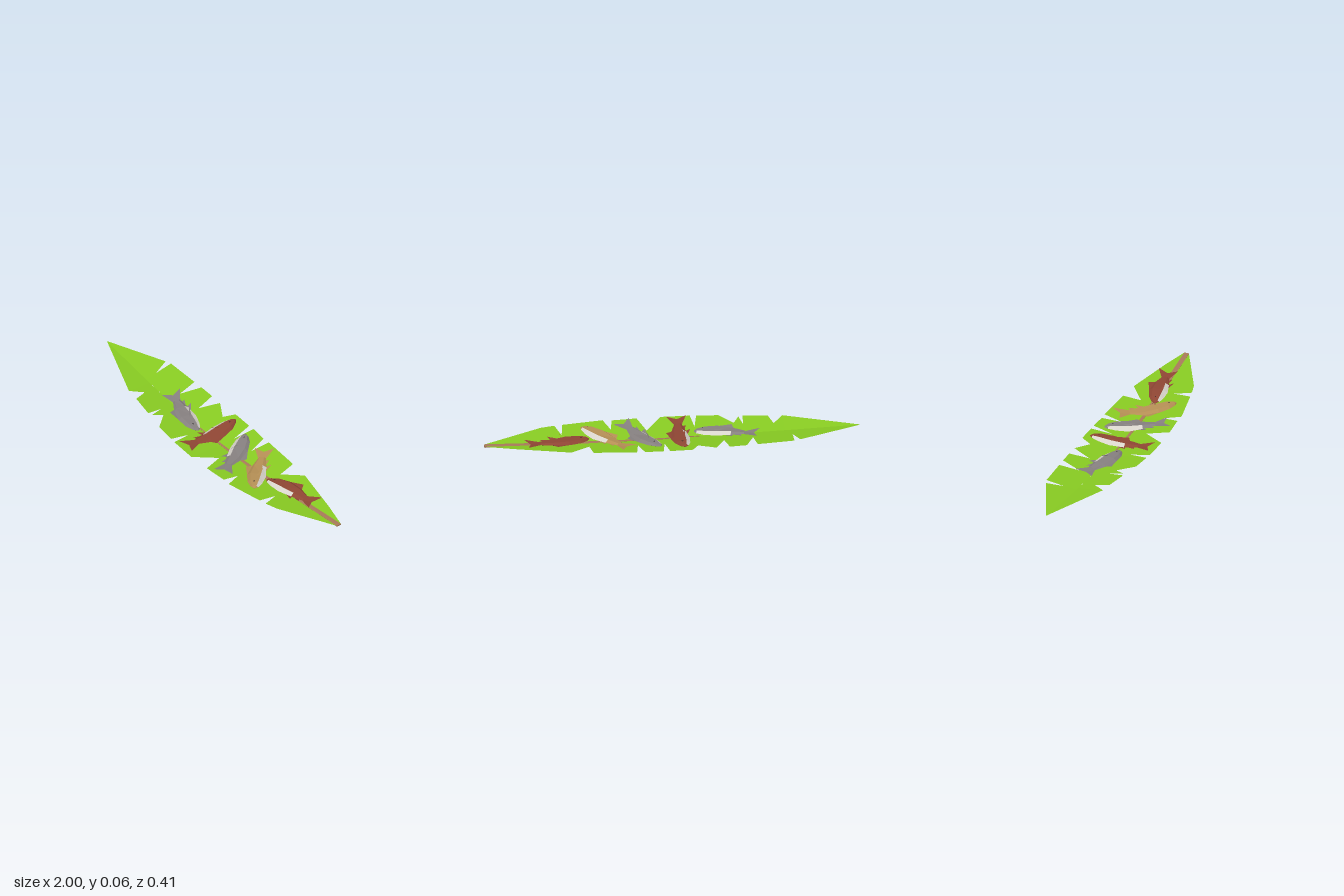
import * as THREE from 'three';

const mat = (name, color, side = THREE.FrontSide) => {
  const m = new THREE.MeshStandardMaterial({ color, side, flatShading: true });
  m.name = name;
  return m;
};

// Piecewise linear lookup in [x, value] pairs
const lerpTable = (t, x) => {
  let i = 0;
  while (i < t.length - 2 && x > t[i + 1][0]) i++;
  const [a, b] = [t[i], t[i + 1]];
  const f = Math.min(1, Math.max(0, (x - a[0]) / (b[0] - a[0])));
  return a[1] + (b[1] - a[1]) * f;
};

// Leaf surface: a sagging spine with sides rising in a shallow V
const SPINE_Y = [[-1, 0.051], [-0.6, 0.026], [-0.2, 0.008], [0.05, 0.004], [0.3, 0.006], [0.6, 0.017], [1, 0.038]];
const SPINE_Z = [[-1, -0.07], [-0.6, -0.035], [-0.2, -0.006], [0.3, 0], [1, -0.012]];
const spineY = x => lerpTable(SPINE_Y, x);
const spineZ = x => lerpTable(SPINE_Z, x);
const leafY = (x, z) => {
  const d = z - spineZ(x);
  return spineY(x) + (d > 0 ? 0.09 * d : -0.17 * d);
};

// Torn edges of the leaf as [x, z], from tip to stem
const BACK_EDGE = [[-1, -0.073], [-0.665, -0.195], [-0.635, -0.105], [-0.632, -0.205], [-0.436, -0.205], [-0.425, -0.095],
  [-0.378, -0.205], [-0.287, -0.203], [-0.27, -0.095], [-0.217, -0.2], [-0.126, -0.143], [-0.09, -0.202], [0.03, -0.196],
  [0.045, -0.08], [0.066, -0.196], [0.164, -0.185], [0.188, -0.08], [0.206, -0.185], [0.435, -0.163], [0.446, -0.067],
  [0.553, -0.147], [0.842, -0.073], [1, -0.026]];
const FRONT_EDGE = [[-1, -0.073], [-0.607, 0.104], [-0.553, 0.04], [-0.532, 0.115], [-0.4, 0.142], [-0.393, 0.062],
  [-0.377, 0.137], [-0.345, 0.083], [-0.275, 0.169], [-0.158, 0.185], [-0.136, 0.083], [-0.125, 0.19], [0.03, 0.2],
  [0.12, 0.083], [0.158, 0.2], [0.292, 0.195], [0.307, 0.11], [0.34, 0.2], [0.56, 0.169], [0.575, 0.072],
  [0.602, 0.163], [0.676, 0.147], [1, 0]];

const geo = tris => {
  const g = new THREE.BufferGeometry();
  g.setAttribute('position', new THREE.Float32BufferAttribute(tris.flat(), 3));
  g.computeVertexNormals();
  return g;
};

// Strip of quads between the spine and one torn edge
function leafHalf(edge, front) {
  const tris = [];
  for (let i = 0; i < edge.length - 1; i++) {
    const out = [edge[i], edge[i + 1]].map(([x, z]) => [x, leafY(x, z), z]);
    const mid = [edge[i], edge[i + 1]].map(([x]) => [x, spineY(x), spineZ(x)]);
    const quad = [mid[0], mid[1], out[1], mid[0], out[1], out[0]];
    tris.push(...(front ? quad.reverse() : quad));
  }
  return geo(tris);
}

// Tapered rib along the spine: [x, half width above, half width below]
const RIB = [[-0.15, 0.003, 0.002], [0.05, 0.006, 0.006], [0.3, 0.009, 0.013], [0.6, 0.012, 0.015], [1, 0.014, 0.013]];
function midrib() {
  const rings = RIB.map(([x, top, low]) => {
    const y = spineY(x), z = spineZ(x);
    return [[x, y + 0.002, z + top], [x, y + 0.003, z], [x, y + 0.003, z - top],
      [x, y - 0.004, z - low], [x, y - 0.004, z + low]];
  });
  const tris = [];
  for (let i = 0; i < RIB.length - 1; i++) {
    for (let k = 0; k < 5; k++) {
      const n = (k + 1) % 5, [a, b] = [rings[i], rings[i + 1]];
      tris.push(a[k], b[k], a[n], a[n], b[k], b[n]);
    }
  }
  const end = rings[RIB.length - 1];
  for (let k = 1; k < 4; k++) tris.push(end[0], end[k + 1], end[k]);
  return geo(tris);
}

// Fish lying on its side: head +x, belly -z; stations are [x, back, belly, half thickness, bend]
const STATIONS = [[0.17, 0.004, 0.004, 0.002, -0.004], [0.155, 0.022, 0.02, 0.01, -0.003], [0.115, 0.042, 0.037, 0.017, 0],
  [0.05, 0.052, 0.049, 0.02, 0.004], [-0.03, 0.042, 0.038, 0.016, 0.004], [-0.1, 0.021, 0.02, 0.009, 0]];
const ANGLES = [0, 50, 118, 180, 242, 310].map(THREE.MathUtils.degToRad);
const MID = 0.021;

function fishParts() {
  // the lower side is flattened where it rests
  const rings = STATIONS.map(([x, d, v, t, b]) => ANGLES.map(a => {
    const c = Math.cos(a), s = Math.sin(a);
    return [x, MID + t * (s > 0 ? s : 0.5 * s), b + c * (c > 0 ? d : v)];
  }));
  const body = [], belly = [];
  for (let i = 0; i < rings.length - 1; i++) {
    for (let k = 0; k < 6; k++) {
      const n = (k + 1) % 6, [a, b] = [rings[i], rings[i + 1]];
      const white = (k === 2 || k === 3) && i > 0 && i < 4;
      (white ? belly : body).push(a[k], a[n], b[k], a[n], b[n], b[k]);
    }
  }
  const m = MID;
  const fins = [
    // forked tail
    [-0.095, m, 0.02], [-0.095, m, -0.019], [-0.15, m, 0],
    [-0.095, m, 0.02], [-0.15, m, 0], [-0.175, m + 0.004, 0.054],
    [-0.095, m, -0.019], [-0.175, m + 0.004, -0.052], [-0.15, m, 0],
    // back fin
    [0.07, m, 0.05], [-0.04, m, 0.038], [-0.02, m + 0.004, 0.075],
    // belly fins
    [0.005, m, -0.036], [-0.045, m + 0.004, -0.058], [-0.035, m, -0.032],
    [-0.05, m, -0.03], [-0.09, m, -0.04], [-0.08, m, -0.02],
    // raised side fin
    [0.07, m + 0.016, 0.002], [0.055, m + 0.014, -0.018], [0.005, m + 0.034, -0.024],
  ];
  // eye plate on the upper cheek
  const e = m + 0.0165;
  const eye = [[0.132, e, 0.004], [0.122, e + 0.002, 0.001], [0.122, e + 0.001, 0.01]];
  return { body, belly, fins, eye };
}

export function createModel() {
  const root = new THREE.Group();
  root.name = 'fishOnLeaf';
  const green = mat('leaf green', 0x88cb22, THREE.DoubleSide);
  const brown = mat('rib brown', 0xa87a5a, THREE.DoubleSide);
  const white = mat('belly white', 0xd8d4cc);
  const dark = mat('eye dark', 0x2a2424, THREE.DoubleSide);
  const grey = mat('fish grey', 0x868080, THREE.DoubleSide);
  const red = mat('fish red', 0x8f4634, THREE.DoubleSide);
  const tan = mat('fish tan', 0xb58f55, THREE.DoubleSide);

  const add = (parent, name, geometry, material) => {
    const mesh = new THREE.Mesh(geometry, material);
    mesh.name = name;
    parent.add(mesh);
  };
  add(root, 'leafBack', leafHalf(BACK_EDGE, false), green);
  add(root, 'leafFront', leafHalf(FRONT_EDGE, true), green);
  add(root, 'midrib', midrib(), brown);

  // Each fish is turned, placed, and draped over the leaf surface
  const parts = fishParts();
  const fish = [
    [-0.29, -0.015, -0.27, grey], [-0.05, 0, Math.PI / 2, red], [0.16, 0.01, 2.09, grey],
    [0.35, 0, -0.86, tan], [0.605, -0.01, -3.01, red],
  ];
  fish.forEach(([cx, cz, turn, skin], i) => {
    const group = new THREE.Group();
    group.name = `fish${i + 1}`;
    const c = Math.cos(turn), s = Math.sin(turn);
    const place = tris => geo(tris.map(([x, y, z]) => {
      const wx = cx + x * c + z * s, wz = cz - x * s + z * c;
      return [wx, y + 0.85 * leafY(wx, wz) - 0.007, wz];
    }));
    add(group, 'body', place(parts.body), skin);
    add(group, 'belly', place(parts.belly), white);
    add(group, 'fins', place(parts.fins), skin);
    add(group, 'eye', place(parts.eye), dark);
    root.add(group);
  });
  return root;
}
